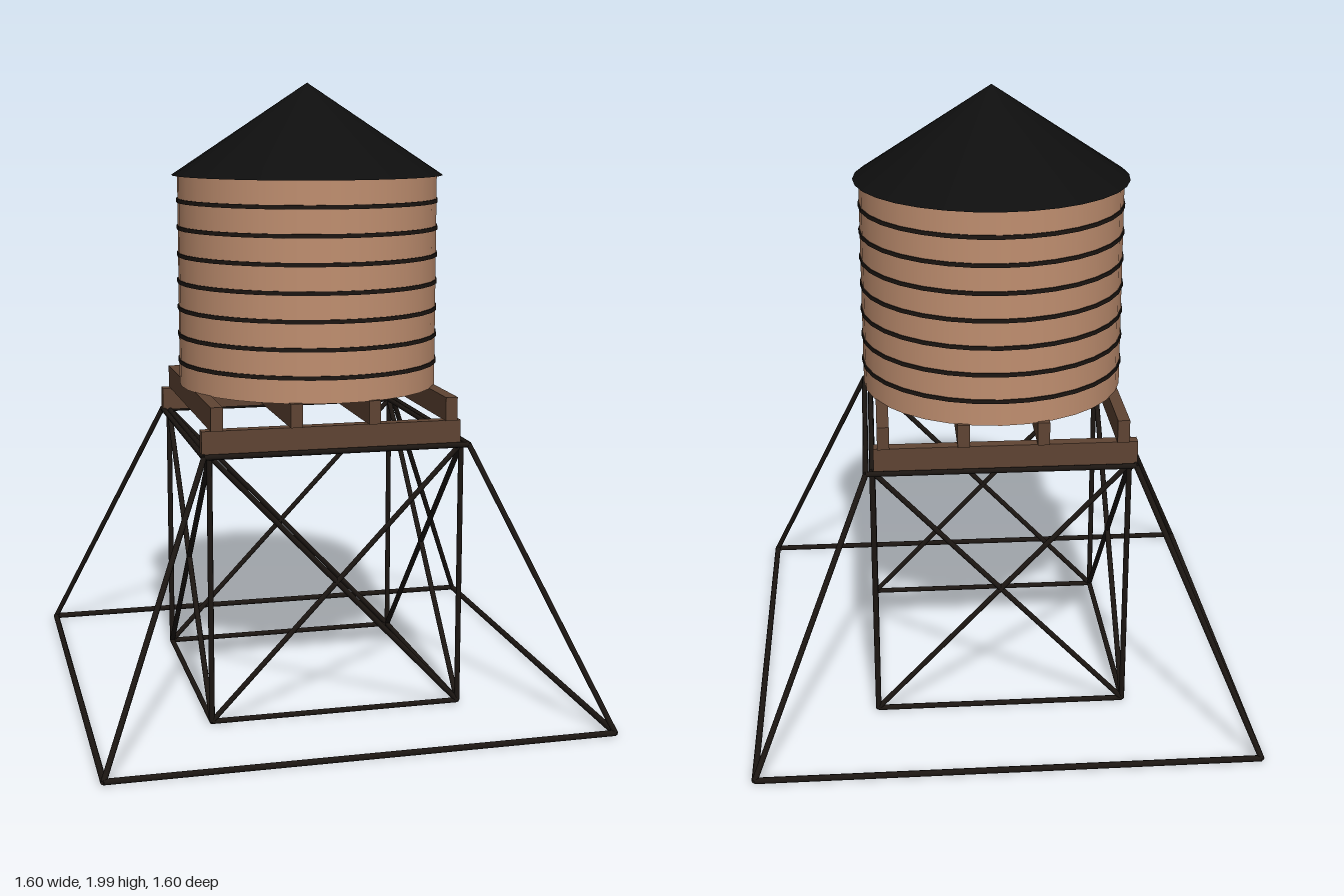
import * as THREE from 'three';

const mat = (color, side = THREE.FrontSide) => new THREE.MeshStandardMaterial({ color, side });

export function createModel() {
  const model = new THREE.Group();
  const steel = mat(0x1c1612);
  const timber = mat(0x5f4433);
  const wood = mat(0xc08f70);
  const roofing = mat(0x0e0e0e, THREE.DoubleSide);

  function add(name, geometry, material, x = 0, y = 0, z = 0, parent = model) {
    const mesh = new THREE.Mesh(geometry, material);
    mesh.name = name;
    mesh.position.set(x, y, z);
    parent.add(mesh);
    return mesh;
  }

  // A thin round bar between two points
  const up = new THREE.Vector3(0, 1, 0);
  function bar(name, a, b, parent, radius = 0.009) {
    const p = new THREE.Vector3(...a), q = new THREE.Vector3(...b);
    const dir = q.clone().sub(p);
    const mid = p.clone().add(q).multiplyScalar(0.5);
    const mesh = add(name, new THREE.CylinderGeometry(radius, radius, dir.length(), 8), steel, mid.x, mid.y, mid.z, parent);
    mesh.quaternion.setFromUnitVectors(up, dir.normalize());
  }

  // Steel tower: four identical sides turned about the vertical axis
  const inner = 0.405, rim = 0.425, foot = 0.79, low = 0.016, high = 0.87;
  for (let i = 0; i < 4; i++) {
    const side = new THREE.Group();
    side.name = 'towerSide';
    side.rotation.y = i * Math.PI / 2;
    bar('post', [inner, low, inner], [inner, high, inner], side);
    bar('slopedLeg', [foot, low, foot], [rim, high, rim], side);
    bar('outerBaseRail', [-foot, low, foot], [foot, low, foot], side, 0.01);
    bar('innerBaseRail', [-inner, low, inner], [inner, low, inner], side);
    bar('outerTopRail', [-rim, high, rim], [rim, high, rim], side);
    bar('innerTopRail', [-inner, high, inner], [inner, high, inner], side);
    bar('crossBrace', [-inner, low, inner], [inner, high, inner], side);
    bar('crossBrace', [inner, low, inner], [-inner, high, inner], side);
    model.add(side);
  }

  // Timber platform: two lower beams carry four joists
  for (const z of [-0.394, 0.394]) {
    add('lowerBeam', new THREE.BoxGeometry(0.83, 0.075, 0.038), timber, -0.015, 0.911, z);
  }
  for (let i = 0; i < 4; i++) {
    add('joist', new THREE.BoxGeometry(0.038, 0.075, 0.836), timber, -0.383 + i * 0.2505, 0.985, 0);
  }

  // Wooden tank with seven hoops
  const bottom = 1.02, top = 1.71;
  add('tank', new THREE.CylinderGeometry(0.424, 0.424, top - bottom, 32), wood, 0, (bottom + top) / 2, 0);
  for (let i = 0; i < 7; i++) {
    add('hoop', new THREE.CylinderGeometry(0.428, 0.428, 0.013, 32), steel, 0, 1.1 + i * 0.0873, 0);
  }

  // Conical roof with a small overhang
  add('roof', new THREE.ConeGeometry(0.443, 0.295, 32), roofing, 0, 1.8525, 0);

  return model;
}
